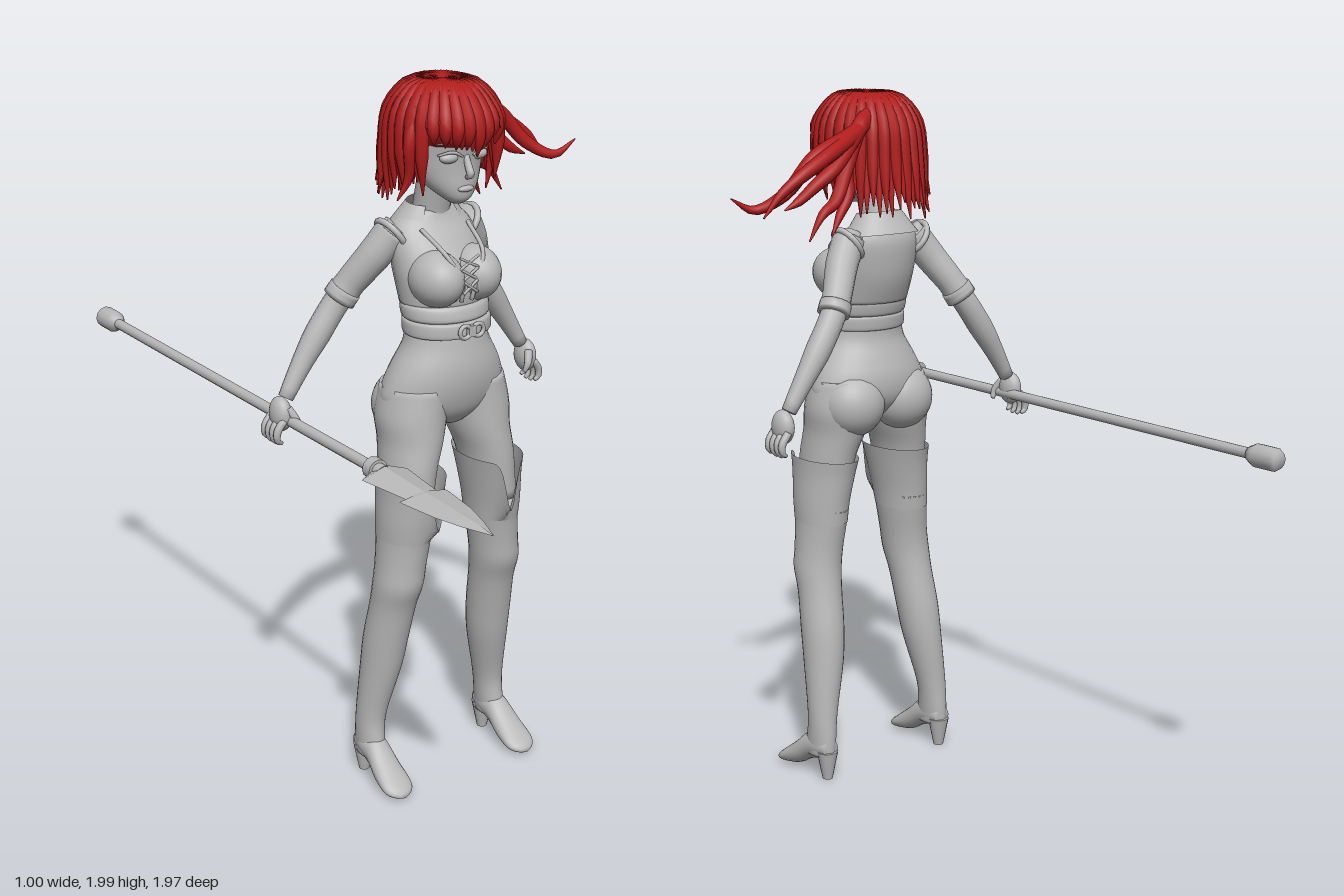
import * as THREE from 'three';

const grey = new THREE.MeshStandardMaterial({ color: 0xb8b8b8 });
grey.name = 'plain grey';
const greyOpen = new THREE.MeshStandardMaterial({ color: 0xb8b8b8, side: THREE.DoubleSide });
greyOpen.name = 'plain grey cloth';
const red = new THREE.MeshStandardMaterial({ color: 0xb01c1c });
red.name = 'hair red';

const V = (x, y, z) => new THREE.Vector3(x, y, z);

// Closed skin over a list of rings of points
function skin(rings, caps = true) {
  const n = rings[0].length, pts = rings.flat(), index = [];
  for (let i = 0; i < rings.length - 1; i++)
    for (let j = 0; j < n; j++) {
      const a = i * n + j, b = i * n + (j + 1) % n;
      index.push(a, b, a + n, b, b + n, a + n);
    }
  if (caps) {
    const last = (rings.length - 1) * n;
    for (const start of [0, last]) {
      const c = V(0, 0, 0);
      for (let j = 0; j < n; j++) c.addScaledVector(pts[start + j], 1 / n);
      const k = pts.push(c) - 1;
      for (let j = 0; j < n; j++) {
        const p = start + j, q = start + (j + 1) % n;
        if (start) index.push(k, p, q); else index.push(k, q, p);
      }
    }
  }
  const g = new THREE.BufferGeometry().setFromPoints(pts);
  g.setIndex(index);
  g.computeVertexNormals();
  return g;
}

// Catmull-Rom subdivision of rows of numbers
function smooth(rows, steps) {
  const out = [], at = i => rows[Math.min(Math.max(i, 0), rows.length - 1)];
  for (let i = 0; i < rows.length - 1; i++)
    for (let s = 0; s < steps; s++) {
      const t = s / steps;
      out.push(rows[i].map((b, k) => {
        const a = at(i - 1)[k], c = at(i + 1)[k], d = at(i + 2)[k];
        return b + 0.5 * t * (c - a + t * (2 * a - 5 * b + 4 * c - d + t * (3 * (b - c) + d - a)));
      }));
    }
  out.push(rows[rows.length - 1]);
  return out;
}

// Loft along y or z; row = [position, centre x, low, high, half width]
function loft(rows, { axis = 'y', n = 28, steps = 4, caps = true } = {}) {
  return skin(smooth(rows, steps).map(([t, cx, lo, hi, r]) => Array.from({ length: n }, (_, j) => {
    const a = j / n * Math.PI * 2, x = cx + r * Math.cos(a), s = (hi - lo) / 2 * Math.sin(a), m = (lo + hi) / 2;
    return axis === 'y' ? V(x, t, m - s) : V(x, m + s, t);
  })), caps);
}

// Round limb or strand; each point = [x, y, z, radius]
function limb(points, n = 14, segs = 20) {
  const curve = new THREE.CatmullRomCurve3(points.map(p => V(p[0], p[1], p[2])));
  const f = curve.computeFrenetFrames(segs), last = points.length - 1;
  return skin(Array.from({ length: segs + 1 }, (_, i) => {
    const u = i / segs, c = curve.getPointAt(u), k = curve.getUtoTmapping(u) * last;
    const m = Math.min(Math.floor(k), last - 1), r = THREE.MathUtils.lerp(points[m][3], points[m + 1][3], k - m);
    return Array.from({ length: n }, (_, j) => {
      const a = j / n * Math.PI * 2;
      return c.clone().addScaledVector(f.normals[i], r * Math.cos(a)).addScaledVector(f.binormals[i], r * Math.sin(a));
    });
  }));
}

function ball(x, y, z, rx, ry, rz) {
  return new THREE.SphereGeometry(1, 24, 16).scale(rx, ry, rz).translate(x, y, z);
}

function add(group, name, geometry, material = grey) {
  const m = new THREE.Mesh(geometry, material);
  m.name = name;
  group.add(m);
  return m;
}

// One side of the body, modelled on the +x side
function buildSide() {
  const g = new THREE.Group();
  add(g, 'bust', ball(0.06, 1.475, 0.285, 0.07, 0.075, 0.088));
  add(g, 'buttock', ball(0.088, 1.11, 0.185, 0.095, 0.095, 0.087));
  add(g, 'thigh', loft([[0.82, 0.144, 0.18, 0.35, 0.066], [0.95, 0.13, 0.16, 0.35, 0.073], [1.03, 0.112, 0.14, 0.345, 0.084],
    [1.1, 0.104, 0.125, 0.34, 0.095], [1.18, 0.09, 0.13, 0.335, 0.09]]));
  add(g, 'boot', loft([[0.07, 0.212, 0.135, 0.25, 0.034], [0.12, 0.211, 0.135, 0.24, 0.037], [0.2, 0.206, 0.14, 0.235, 0.042],
    [0.35, 0.186, 0.145, 0.27, 0.057], [0.45, 0.178, 0.155, 0.29, 0.062], [0.55, 0.17, 0.175, 0.312, 0.063],
    [0.62, 0.165, 0.185, 0.337, 0.067], [0.68, 0.158, 0.185, 0.342, 0.067], [0.75, 0.15, 0.177, 0.35, 0.069],
    [0.8, 0.146, 0.17, 0.36, 0.071]]));
  // Flared cuff whose top edge drops to a slit at the front
  const cuff = loft([[0.76, 0.149, 0.174, 0.352, 0.07], [0.82, 0.145, 0.168, 0.364, 0.073],
    [0.9, 0.135, 0.155, 0.38, 0.077], [0.95, 0.13, 0.142, 0.393, 0.081]], { n: 64, caps: false });
  const p = cuff.attributes.position;
  for (let i = 0; i < p.count; i++) {
    const y = p.getY(i), x = p.getX(i) - 0.122, front = p.getZ(i) > 0.27;
    const slit = front ? 0.75 * Math.exp(-((x / 0.02) ** 2)) : 0;
    p.setY(i, 0.76 + (y - 0.76) * (1 - slit));
  }
  cuff.computeVertexNormals();
  add(g, 'bootCuff', cuff, greyOpen);
  add(g, 'foot', loft([[0.14, 0.212, 0.07, 0.12, 0.025], [0.18, 0.212, 0.058, 0.14, 0.036], [0.23, 0.213, 0.04, 0.13, 0.038],
    [0.28, 0.215, 0.012, 0.088, 0.044], [0.33, 0.216, 0.003, 0.05, 0.046], [0.355, 0.216, 0.003, 0.032, 0.034],
    [0.368, 0.216, 0.006, 0.018, 0.012]], { axis: 'z', n: 20 }));
  add(g, 'heel', new THREE.CylinderGeometry(0.032, 0.015, 0.085, 14).translate(0.212, 0.0425, 0.158));

  // Arm, sleeve and hand
  add(g, 'arm', limb([[0.1, 1.595, 0.17, 0.042], [0.15, 1.53, 0.145, 0.043], [0.225, 1.41, 0.085, 0.036],
    [0.295, 1.305, 0.07, 0.036], [0.345, 1.23, 0.068, 0.028], [0.395, 1.15, 0.07, 0.021]]));
  add(g, 'sleeve', limb([[0.115, 1.585, 0.165, 0.047], [0.155, 1.525, 0.143, 0.046], [0.205, 1.445, 0.1, 0.041], [0.228, 1.405, 0.084, 0.043]]));
  add(g, 'sleeveCuff', limb([[0.215, 1.428, 0.092, 0.045], [0.231, 1.4, 0.083, 0.046]], 16, 3));
  add(g, 'armhole', new THREE.TorusGeometry(0.05, 0.009, 8, 24).rotateY(Math.PI / 2).rotateZ(-0.6).translate(0.118, 1.575, 0.165));
  add(g, 'palm', ball(0.413, 1.11, 0.072, 0.027, 0.048, 0.04));
  for (let i = 0; i < 4; i++) {
    const z = 0.037 + i * 0.021;
    add(g, 'finger', limb([[0.42, 1.1, z, 0.011], [0.441, 1.07, z, 0.011], [0.44, 1.045, z, 0.009],
      [0.427, 1.028 + Math.abs(i - 1.5) * 0.006, z, 0.005]], 8, 8));
  }
  add(g, 'thumb', limb([[0.405, 1.13, 0.098, 0.012], [0.39, 1.1, 0.115, 0.011], [0.38, 1.075, 0.112, 0.006]], 8, 8));

  // Face and neckline details
  add(g, 'eye', ball(0.046, 1.802, 0.318, 0.027, 0.015, 0.018));
  add(g, 'eyelid', limb([[0.016, 1.805, 0.339, 0.003], [0.045, 1.819, 0.335, 0.005], [0.078, 1.81, 0.313, 0.003]], 6, 10));
  add(g, 'eyebrow', limb([[0.016, 1.835, 0.341, 0.003], [0.05, 1.846, 0.334, 0.004], [0.08, 1.838, 0.313, 0.002]], 6, 10));
  add(g, 'ear', ball(0.108, 1.79, 0.2, 0.013, 0.035, 0.022));
  add(g, 'neckline', limb([[0.075, 1.6, 0.24, 0.006], [0.055, 1.54, 0.335, 0.006], [0.024, 1.48, 0.352, 0.006], [0.016, 1.42, 0.34, 0.006]], 8));
  add(g, 'beltRing', new THREE.TorusGeometry(0.017, 0.006, 8, 18).translate(0.021, 1.343, 0.364));
  return g;
}

function buildBody() {
  const body = new THREE.Group();
  body.name = 'figure';
  add(body, 'vest', loft([[1.4, 0, 0.132, 0.33, 0.122], [1.45, 0, 0.112, 0.335, 0.127], [1.5, 0, 0.1, 0.315, 0.13],
    [1.57, 0, 0.095, 0.268, 0.128], [1.61, 0, 0.107, 0.238, 0.108], [1.64, 0, 0.125, 0.225, 0.065]]));
  add(body, 'waistBand', loft([[1.362, 0, 0.148, 0.342, 0.118], [1.37, 0, 0.142, 0.348, 0.125], [1.395, 0, 0.136, 0.343, 0.126], [1.405, 0, 0.138, 0.335, 0.121]]));
  add(body, 'belt', loft([[1.32, 0, 0.152, 0.35, 0.118], [1.326, 0, 0.146, 0.357, 0.125], [1.356, 0, 0.143, 0.356, 0.125], [1.362, 0, 0.148, 0.35, 0.118]]));
  add(body, 'buckle', new THREE.BoxGeometry(0.022, 0.03, 0.014).translate(0, 1.343, 0.362));
  add(body, 'hips', loft([[1.065, 0, 0.17, 0.295, 0.06], [1.1, 0, 0.135, 0.325, 0.15], [1.14, 0, 0.118, 0.342, 0.188],
    [1.19, 0, 0.118, 0.353, 0.178], [1.24, 0, 0.133, 0.353, 0.155], [1.3, 0, 0.153, 0.342, 0.123], [1.37, 0, 0.15, 0.33, 0.115]]));
  add(body, 'neck', limb([[0, 1.58, 0.17, 0.058], [0, 1.64, 0.18, 0.05], [0, 1.74, 0.205, 0.05]], 20));
  add(body, 'collar', new THREE.CylinderGeometry(0.07, 0.118, 0.065, 32, 2, true, 0.65, Math.PI * 2 - 1.3)
    .scale(1, 1, 0.72).rotateX(0.12).translate(0, 1.625, 0.17), greyOpen);
  // Crossed laces on the chest
  for (let i = 0; i < 3; i++)
    for (const s of [-1, 1]) {
      const y = 1.445 + i * 0.032, z = 0.357 - i * 0.004, w = 0.022 + i * 0.004;
      add(body, 'lace', limb([[-s * w, y, z, 0.004], [0, y + 0.016, z, 0.004], [s * w, y + 0.032, z, 0.004]], 6, 6));
    }
  add(body, 'head', loft([[1.675, 0, 0.275, 0.312, 0.018], [1.69, 0, 0.25, 0.328, 0.04], [1.72, 0, 0.19, 0.333, 0.07],
    [1.76, 0, 0.12, 0.332, 0.097], [1.8, 0, 0.095, 0.334, 0.108], [1.85, 0, 0.08, 0.343, 0.112],
    [1.91, 0, 0.085, 0.335, 0.105], [1.955, 0, 0.13, 0.29, 0.075], [1.975, 0, 0.18, 0.24, 0.02]]));
  add(body, 'nose', limb([[0, 1.805, 0.328, 0.008], [0, 1.775, 0.342, 0.01], [0, 1.758, 0.35, 0.01], [0, 1.748, 0.334, 0.006]], 10));
  add(body, 'lips', ball(0, 1.718, 0.33, 0.024, 0.009, 0.011));
  const left = buildSide(), right = buildSide();
  left.name = 'leftSide';
  right.name = 'rightSide';
  right.scale.x = -1;
  body.add(left, right);
  return body;
}

function buildHair() {
  const hair = new THREE.Group();
  hair.name = 'hair';
  add(hair, 'hairCap', ball(0, 1.885, 0.215, 0.13, 0.095, 0.155), red);
  let seed = 7;
  const rnd = () => (seed = (seed * 16807) % 2147483647) / 2147483647;
  // Two layers of locks fanning out from the crown
  for (let layer = 0; layer < 2; layer++)
    for (let i = 0; i < 30; i++) {
      const a = (i + layer / 2) / 30 * Math.PI * 2, s = Math.sin(a), c = Math.cos(a);
      const front = Math.max(c, 0), back = Math.max(-c, 0), j = rnd();
      const tip = (c > 0.55 ? 1.835 : 1.715 - 0.06 * back) + (j - 0.5) * 0.05 + layer * 0.015;
      const at = (r, y, w) => [s * r * 0.88, y, 0.225 + c * r, w];
      const k = 1 - 0.05 * layer, out = 0.152 + 0.045 * back + 0.012 * (rnd() - 0.5);
      add(hair, 'lock', limb([at(0.015, 1.978, 0.012), at(0.09 * k, 1.968, 0.021), at(0.146 * k, 1.91, 0.021),
        at((0.158 + 0.012 * back) * k, (1.91 + tip) / 2, 0.018), at(out - 0.006 * front, tip, 0.002)], 8, 14), red);
    }
  // Loose curl beside each cheek
  add(hair, 'sideLock', limb([[-0.11, 1.93, 0.27, 0.02], [-0.14, 1.84, 0.28, 0.018], [-0.138, 1.75, 0.27, 0.012], [-0.165, 1.695, 0.26, 0.002]], 8), red);
  add(hair, 'sideLock', limb([[0.11, 1.93, 0.27, 0.02], [0.132, 1.84, 0.28, 0.018], [0.125, 1.76, 0.27, 0.012], [0.11, 1.69, 0.27, 0.002]], 8), red);
  // Tail of long locks blowing to the left
  const tails = [
    [[0.31, 1.83, 0.06], [0.39, 1.74, 0.08], [0.465, 1.7, 0.115], [0.535, 1.735, 0.12]],
    [[0.28, 1.835, 0.04], [0.37, 1.79, 0.03], [0.43, 1.745, 0.04], [0.48, 1.685, 0.05]],
    [[0.25, 1.8, 0.05], [0.31, 1.76, 0.05], [0.36, 1.72, 0.06], [0.405, 1.7, 0.06]],
    [[0.18, 1.79, 0.09], [0.23, 1.71, 0.07], [0.28, 1.68, 0.06], [0.325, 1.61, 0.06]],
    [[0.155, 1.8, 0.12], [0.165, 1.72, 0.1], [0.2, 1.67, 0.09], [0.235, 1.615, 0.08]]];
  for (const t of tails)
    add(hair, 'tailLock', limb([[0.04, 1.95, 0.15, 0.02], [0.13, 1.895, 0.1, 0.024],
      ...t.map((q, i) => [...q, [0.021, 0.018, 0.013, 0.002][i]])], 10, 28), red);
  return hair;
}

function buildSpear() {
  const spear = new THREE.Group();
  spear.name = 'spear';
  spear.position.set(-0.435, 1.095, 0);
  const rod = (name, r, z0, z1, n = 12) => add(spear, name,
    new THREE.CylinderGeometry(r, r, z1 - z0, n).rotateX(Math.PI / 2).translate(0, 0, (z0 + z1) / 2));
  rod('shaft', 0.015, -0.93, 0.56);
  rod('collarRing', 0.029, 0.485, 0.515);
  rod('socket', 0.021, 0.515, 0.54);
  const flat = rows => {
    const g = loft(rows, { axis: 'z', n: 4, steps: 1 }).toNonIndexed();
    g.computeVertexNormals();
    return g;
  };
  add(spear, 'lowerBlade', flat([[0.515, 0, -0.018, 0.018, 0.025], [0.542, 0, -0.02, 0.02, 0.068], [0.72, 0, -0.013, 0.013, 0.044]]));
  add(spear, 'upperBlade', flat([[0.705, 0, -0.012, 0.012, 0.068], [0.72, 0, -0.014, 0.014, 0.068], [0.83, 0, -0.011, 0.011, 0.052],
    [0.91, 0, -0.008, 0.008, 0.03], [0.985, 0, -0.002, 0.002, 0.002]]));
  add(spear, 'buttCap', loft([[-0.985, 0, -0.024, 0.024, 0.024], [-0.972, 0, -0.032, 0.032, 0.032],
    [-0.91, 0, -0.032, 0.032, 0.032], [-0.885, 0, -0.02, 0.02, 0.02]], { axis: 'z', n: 12, steps: 1 }));
  return spear;
}

export function createModel() {
  const model = new THREE.Group();
  model.name = 'spearFighter';
  const figure = buildBody();
  figure.add(buildHair());
  figure.position.x = -0.035;
  model.add(figure, buildSpear());
  return model;
}
